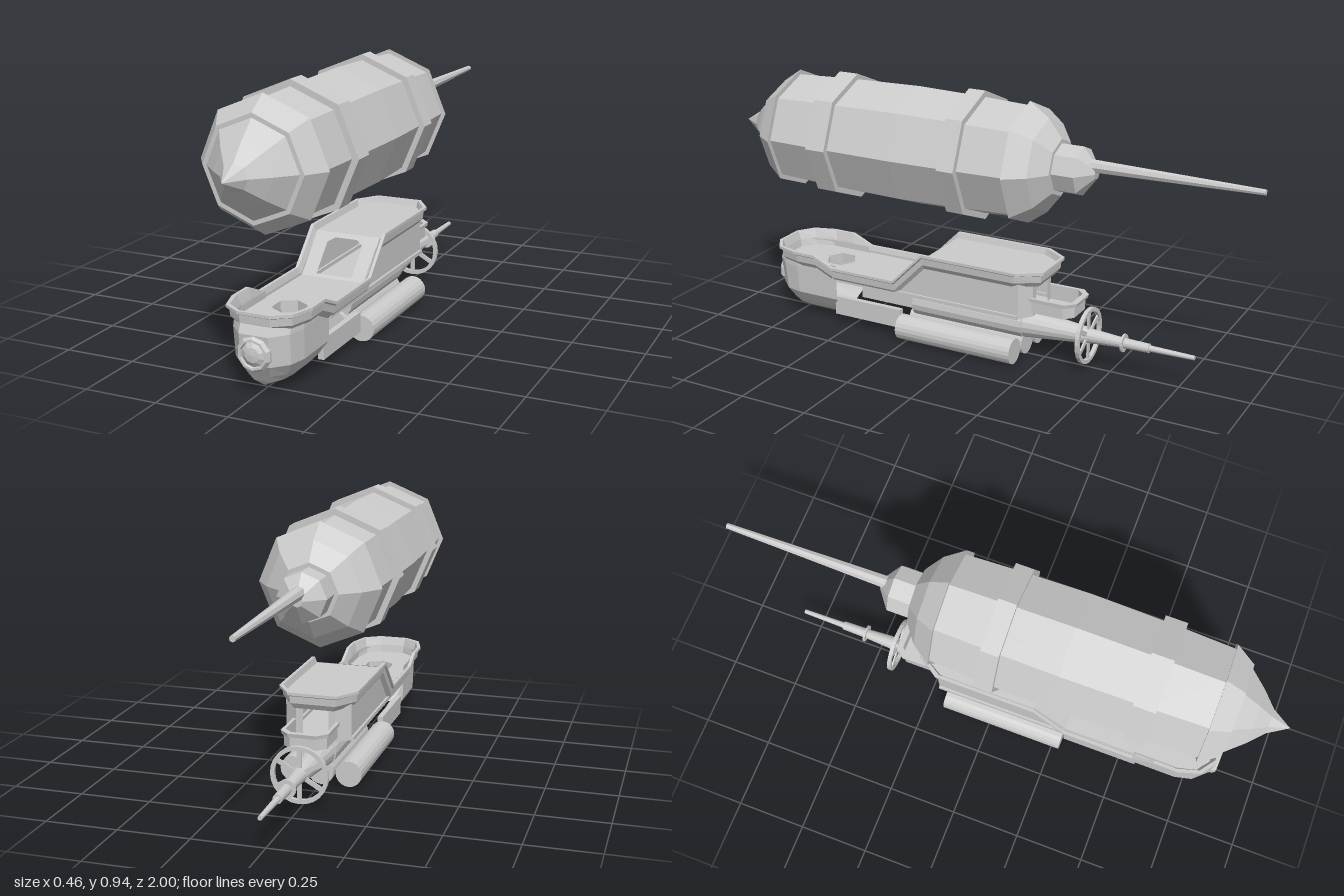
import * as THREE from 'three';

const mat = new THREE.MeshStandardMaterial({ color: 0xcccccc, flatShading: true, side: THREE.DoubleSide });

export function createModel() {
  const root = new THREE.Group();
  const add = (name, geo, x = 0, y = 0, z = 0) => {
    const m = new THREE.Mesh(geo, mat);
    m.name = name;
    m.position.set(x, y, z);
    root.add(m);
    return m;
  };

  // Solid of revolution along z, profile given as [z, radius] from back to front
  const turned = (pts, sides) => new THREE.LatheGeometry(
    pts.map(([z, r]) => new THREE.Vector2(r, z)), sides).rotateX(Math.PI / 2);

  // Skin joining cross-section loops of [x, y, z] points
  const loft = (rings, closed = true) => {
    const n = rings[0].length, idx = [];
    for (let i = 0; i < rings.length - 1; i++) {
      for (let j = 0; j < (closed ? n : n - 1); j++) {
        const a = i * n + j, b = i * n + (j + 1) % n;
        idx.push(a, b, a + n, b, b + n, a + n);
      }
    }
    const g = new THREE.BufferGeometry();
    g.setAttribute('position', new THREE.Float32BufferAttribute(rings.flat(2), 3));
    g.setIndex(idx);
    g.computeVertexNormals();
    return g;
  };

  const poly = (pts) => pts.map(([x, y]) => new THREE.Vector2(x, y));
  const panel = (pts, ...holes) => {
    const s = new THREE.Shape(poly(pts));
    holes.forEach((h) => s.holes.push(new THREE.Path(poly(h))));
    return new THREE.ShapeGeometry(s);
  };
  // Horizontal panel drawn in x, z
  const flat = (...a) => panel(...a).rotateX(Math.PI / 2);
  const mirror = (half) => [...half, ...half.map(([x, ...r]) => [-x, ...r]).reverse()];
  const ngon = (n, r, cx, cy) => Array.from({ length: n }, (_, i) => {
    const t = (i + 0.5) / n * Math.PI * 2;
    return [cx + r * Math.cos(t), cy + r * Math.sin(t)];
  });

  // Gas envelope: faceted body, flared end rims, nose and tail
  const axis = 0.707;
  add('envelope', turned([
    [-0.43, 0.02], [-0.38, 0.085], [-0.3, 0.085], [-0.3, 0.1], [-0.25, 0.165], [-0.18, 0.215],
    [-0.18, 0.2], [0.02, 0.209], [0.25, 0.215], [0.54, 0.209], [0.75, 0.2], [0.75, 0.217],
    [0.82, 0.17], [0.82, 0.155], [0.88, 0.1], [0.93, 0.045], [1, 0],
  ], 8), 0, axis);
  for (const z of [0.54, 0.02]) {
    const w = z > 0.3 ? 0.038 : 0.032;
    add('envelopeBand', turned([[-w, 0.2], [-w, 0.23], [w, 0.23], [w, 0.2]], 8), 0, axis, z);
  }
  add('tailPole', turned([[-1, 0], [-1, 0.01], [-0.41, 0.023], [-0.41, 0]], 8), 0, 0.73);

  // Gunwale: flared rim following the stepped top line of the gondola
  const line = [[0.84, 0.27], [0.63, 0.27], [0.55, 0.235], [0.29, 0.235], [0.17, 0.355], [-0.28, 0.355]];
  const top = (z) => {
    const i = Math.max(1, line.findIndex((p) => p[0] <= z + 1e-6));
    const [a, b] = [line[i - 1], line[i]];
    return a[1] + (b[1] - a[1]) * (a[0] - z) / (a[0] - b[0]);
  };
  const plan = mirror([
    [0.055, 0.84], [0.115, 0.8], [0.14, 0.72], [0.14, 0.63], [0.14, 0.55],
    [0.14, 0.29], [0.14, 0.17], [0.14, -0.2], [0.085, -0.28],
  ]);
  const ring = (sx, sz, drop) => plan.map(([x, z]) =>
    [x * sx, top(z) - drop, z > 0.7 ? z - sz : z < -0.19 ? z + sz : z]);
  add('gunwale', loft([
    ring(0.82, 0.025, 0.06), ring(0.93, 0.012, 0.04), ring(0.95, 0.01, 0.015), ring(1, 0, 0.01),
    ring(1, 0, 0), ring(0.92, 0.01, 0), ring(0.86, 0.02, 0.03), ring(0.82, 0.025, 0.06),
  ]));

  // Open foredeck with a six-sided hatch and its well
  const hatch = ngon(6, 0.055, 0, 0.6);
  add('foredeck', flat(mirror([[0.045, 0.82], [0.1, 0.78], [0.118, 0.7], [0.118, 0.28]]), hatch), 0, 0.212);
  add('hatchWell', loft([0.218, 0.17].map((y) => hatch.map(([x, z]) => [x, y, z]))));

  // Bow hull: half plan shrinking towards the pointed keel, open at the back
  const bow = [[0.235, 1, 0.825, 0.55], [0.2, 1, 0.84, 0.55], [0.1, 0.98, 0.83, 0.55],
    [0.06, 0.75, 0.805, 0.57], [0.035, 0.55, 0.79, 0.58], [0.015, 0.04, 0.77, 0.72]];
  add('bowHull', loft(bow.map(([y, s, zf, zb]) => mirror([
    [0.113 * s, y, zb], [0.113 * s, y, zb + (zf - zb) * 0.6],
    [0.098 * s, y, zb + (zf - zb) * 0.82], [0.05 * s, y, zf],
  ])), false));

  // Round bow window with a raised frame
  add('bowWindow', turned([[-0.03, 0.058], [0, 0.058], [0.012, 0.05], [0.012, 0.043],
    [0.002, 0.041], [0.012, 0.025], [0.015, 0]], 10), 0, 0.14, 0.838);

  // Cabin: side walls, roof, floor, chamfered stern and sloped front with openings
  const side = [[-0.56, 0.18], [-0.56, 0.22], [-0.29, 0.22], [-0.17, 0.335], [0.2, 0.335], [0.2, 0.18]];
  for (const s of [-1, 1]) {
    add('sideWall', panel(side).rotateY(Math.PI / 2), s * 0.116);
    add('wallRib', new THREE.BoxGeometry(0.016, 0.014, 0.76), s * 0.116, 0.186, 0.18);
    add('lowerBeam', new THREE.BoxGeometry(0.02, 0.07, 0.28), s * 0.09, 0.073, 0.425);
    add('sternCorner', loft([0.18, 0.335].map((y) => [[s * 0.116, y, -0.2], [s * 0.07, y, -0.235]]), false));
  }
  add('cabinRoof', flat(mirror([[0.12, 0.17], [0.12, -0.2], [0.072, -0.26]])), 0, 0.335);
  add('hullFloor', flat(mirror([[0.116, 0.56], [0.116, -0.2], [0.07, -0.235]])), 0, 0.18);
  add('sternWall', panel(
    [[-0.07, 0.18], [0.07, 0.18], [0.07, 0.335], [-0.07, 0.335]],
    [[-0.045, 0.195], [0.045, 0.195], [0.045, 0.29], [0.022, 0.306], [-0.022, 0.306], [-0.045, 0.29]],
  ), 0, 0, -0.235);
  add('cabinFront', panel(
    [[-0.118, 0], [0.118, 0], [0.118, 0.174], [-0.118, 0.174]],
    [[-0.065, 0.012], [0.065, 0.012], [0.065, 0.135], [0.04, 0.155], [-0.04, 0.155], [-0.065, 0.135]],
  ).rotateX(-Math.atan2(0.12, 0.123)), 0, 0.212, 0.29);

  // Stern balcony with a rail around three sides
  const deck = [[0.075, -0.22], [0.075, -0.35], [0.045, -0.38], [-0.045, -0.38], [-0.075, -0.35], [-0.075, -0.22]];
  add('balconyFloor', flat(deck), 0, 0.195);
  add('balconyRail', loft([[0.195, 1], [0.235, 1], [0.237, 1.08], [0.25, 1.1], [0.25, 0.94], [0.195, 0.94]]
    .map(([y, s]) => deck.map(([x, z]) => [x * s, y, -0.22 + (z + 0.22) * (s > 1 ? s - 0.03 : s)])), false));

  // Tanks slung below the cabin
  for (const x of [-0.1, 0, 0.1]) {
    add('tank', new THREE.CylinderGeometry(0.046, 0.046, 0.46, 20).rotateX(Math.PI / 2), x, 0.048, 0.05);
  }

  // Engine housing tapering into the propeller shaft
  const shaftY = 0.12;
  add('engine', turned([[-0.8, 0], [-0.8, 0.008], [-0.64, 0.011], [-0.64, 0.016], [-0.55, 0.018],
    [-0.55, 0.032], [-0.543, 0.032], [-0.543, 0.018], [-0.42, 0.026], [-0.4, 0.03], [-0.18, 0.052],
    [-0.18, 0.056], [0.26, 0.056], [0.26, 0]], 16), 0, shaftY);

  // Ringed propeller
  const prop = new THREE.Group();
  prop.name = 'propeller';
  prop.position.set(0, shaftY, -0.415);
  const rim = new THREE.Mesh(turned([[-0.007, 0.086], [-0.007, 0.1], [0.007, 0.1], [0.007, 0.086], [-0.007, 0.086]], 24), mat);
  rim.name = 'propellerRing';
  prop.add(rim);
  for (let i = 0; i < 6; i++) {
    const spoke = new THREE.Mesh(new THREE.BoxGeometry(0.016, 0.075, 0.006).translate(0, 0.055, 0), mat);
    spoke.name = 'propellerBlade';
    spoke.rotation.z = i * Math.PI / 3;
    prop.add(spoke);
  }
  root.add(prop);

  return root;
}
